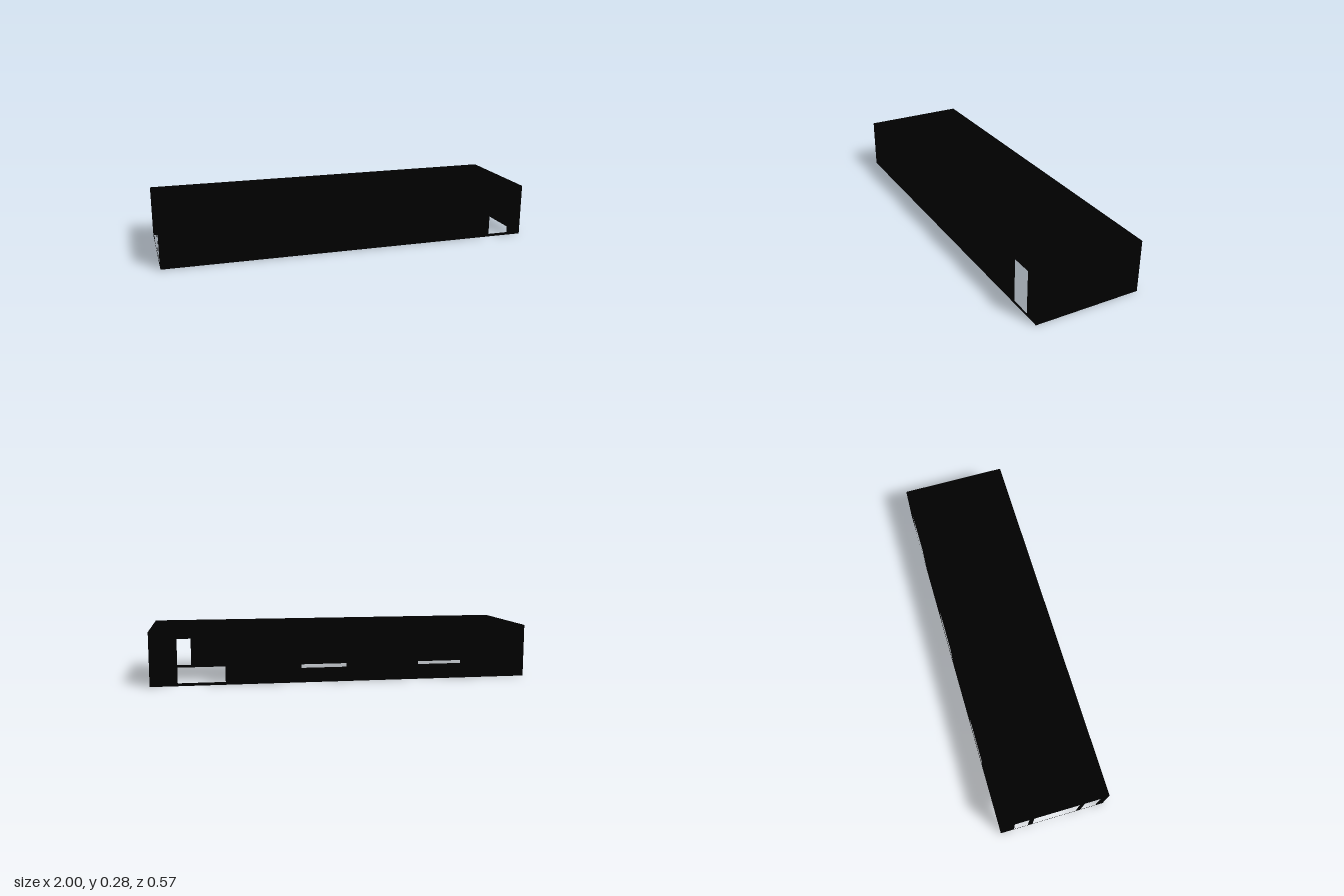
import * as THREE from 'three';

const LENGTH = 2, DEPTH = 0.572, HEIGHT = 0.28;
const material = new THREE.MeshStandardMaterial({ color: 0x000000, side: THREE.DoubleSide });

// Rectangle outline; u runs along the wall, v runs up
function rectangle(path, u0, u1, v0, v1) {
  path.moveTo(u0, v0);
  path.lineTo(u1, v0);
  path.lineTo(u1, v1);
  path.lineTo(u0, v1);
  path.closePath();
  return path;
}

// Thin upright wall facing +z before turning, with openings [u0, u1, v0, v1]
function wall(name, width, openings, turn, x, z) {
  const shape = rectangle(new THREE.Shape(), -width / 2, width / 2, 0, HEIGHT);
  for (const o of openings) shape.holes.push(rectangle(new THREE.Path(), ...o));
  const mesh = new THREE.Mesh(new THREE.ShapeGeometry(shape), material);
  mesh.name = name;
  mesh.rotation.y = turn;
  mesh.position.set(x, 0, z);
  return mesh;
}

export function createModel() {
  const group = new THREE.Group();
  group.name = 'building';
  const sill = 0.015, head = 0.243;

  // Front wall with its door
  group.add(wall('frontWall', LENGTH, [[0.807, 0.92, sill, head]], 0, 0, DEPTH / 2));

  // Back wall: full-height opening and two windows (u is -x here)
  group.add(wall('backWall', LENGTH, [
    [-0.86, -0.618, sill, head],
    [-0.224, 0.013, 0.077, 0.253],
    [0.403, 0.638, 0.08, 0.214],
  ], Math.PI, 0, -DEPTH / 2));

  // Glazed end with three tall openings (u is z here), and the closed end
  group.add(wall('glazedEndWall', DEPTH, [
    [-0.213, -0.137, sill, head],
    [-0.11, 0.131, sill, head],
    [0.159, 0.242, sill, head],
  ], -Math.PI / 2, -LENGTH / 2, 0));
  group.add(wall('closedEndWall', DEPTH, [], Math.PI / 2, LENGTH / 2, 0));

  // Flat roof; the underside of the building is open
  const roof = new THREE.Mesh(new THREE.PlaneGeometry(LENGTH, DEPTH), material);
  roof.name = 'roof';
  roof.rotation.x = -Math.PI / 2;
  roof.position.y = HEIGHT;
  group.add(roof);

  return group;
}
